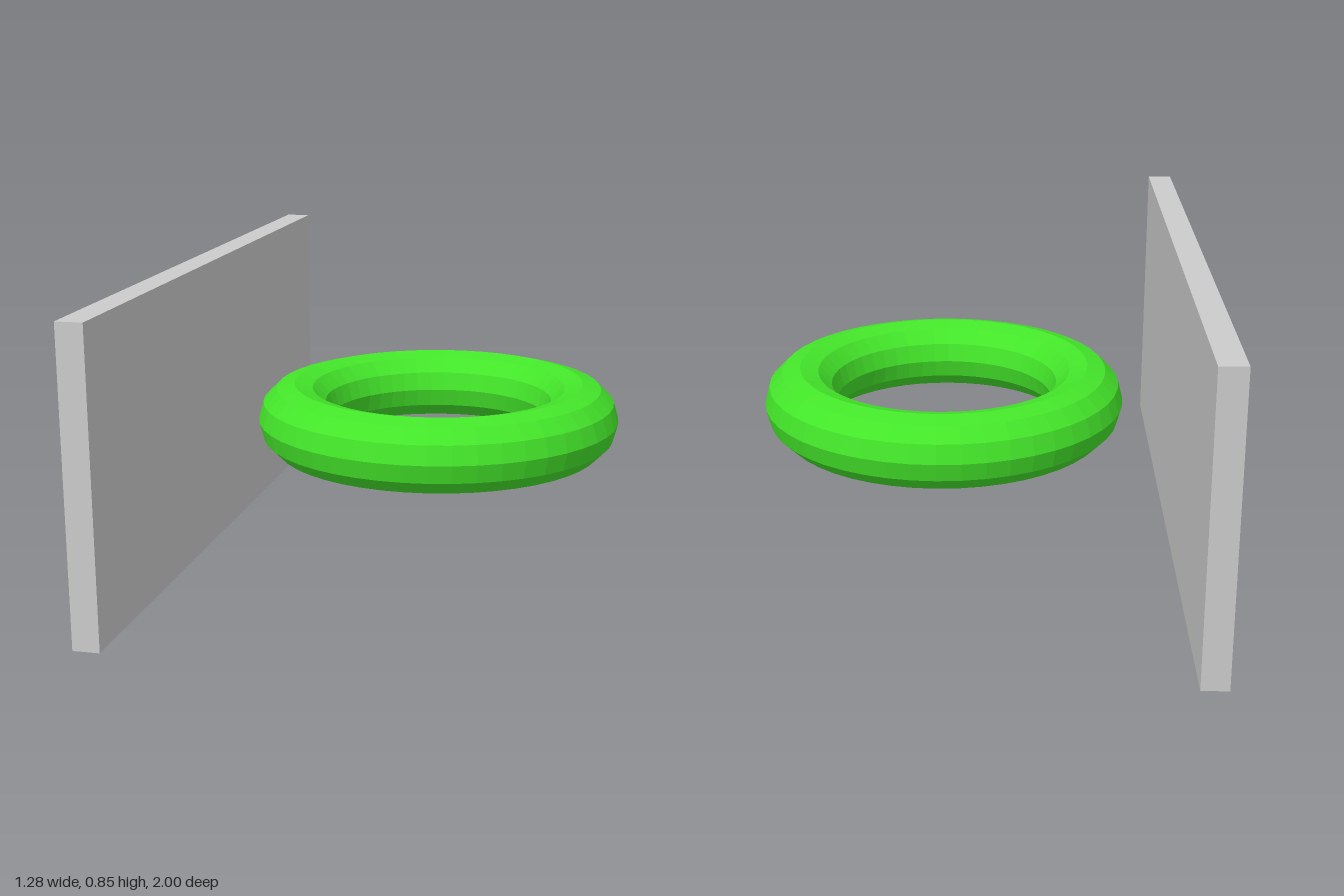
import * as THREE from 'three';

export function createModel() {
  const model = new THREE.Group();

  // Upright rectangular panel
  const panel = new THREE.Mesh(
    new THREE.BoxGeometry(0.074, 0.85, 2),
    new THREE.MeshStandardMaterial({ color: 0xcccccc, flatShading: true })
  );
  panel.name = 'panel';
  panel.position.set(-0.602, 0.425, 0);
  model.add(panel);

  // Faceted ring lying flat, floating beside the panel
  const ring = new THREE.Mesh(
    new THREE.TorusGeometry(0.425, 0.106, 12, 48).rotateX(-Math.PI / 2),
    new THREE.MeshStandardMaterial({ color: 0x44e62a, flatShading: true })
  );
  ring.name = 'ring';
  ring.position.set(0.108, 0.401, 0);
  model.add(ring);

  return model;
}
